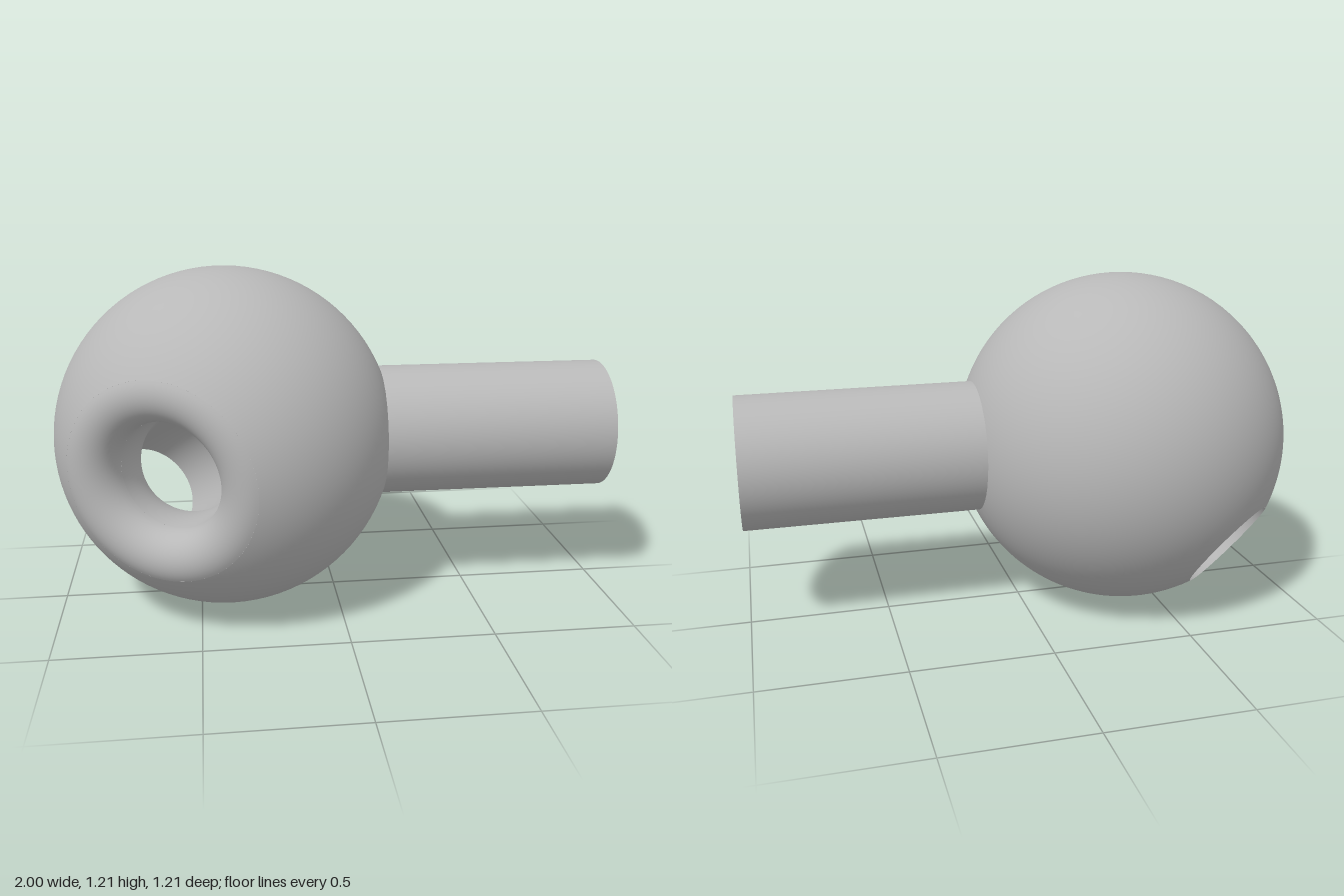
import * as THREE from 'three';

const R = 0.607;      // ball radius
const BORE = 0.19;    // bore radius
const LIP = 0.1;      // rounding radius of the flared mouth
const MOUTH = new THREE.Vector3(-0.45, -0.07, 0.89).normalize();
const EXIT = new THREE.Vector3(-0.52, -0.58, -0.62).normalize();

// Sphere skin between two round openings: circles cut by planes that
// all swing about the line where the two opening planes meet.
function ballGeometry(n1, d1, n2, d2) {
  const axis = new THREE.Vector3().crossVectors(n1, n2).normalize();
  const side = new THREE.Vector3().crossVectors(axis, n1);
  const turn = n1.angleTo(n2);
  const q = (d2 - Math.cos(turn) * d1) / Math.sin(turn);
  const geo = new THREE.PlaneGeometry(1, 1, 96, 72);
  const { position, normal, uv } = geo.attributes;
  const m = new THREE.Vector3(), w = new THREE.Vector3(), p = new THREE.Vector3();
  for (let i = 0; i < position.count; i++) {
    const psi = -(1 - uv.getY(i)) * (Math.PI - turn);
    const phi = uv.getX(i) * Math.PI * 2;
    m.copy(n1).multiplyScalar(Math.cos(psi)).addScaledVector(side, Math.sin(psi));
    const s = d1 * Math.cos(psi) + q * Math.sin(psi);
    const r = Math.sqrt(R * R - s * s);
    w.crossVectors(m, axis);
    p.copy(m).multiplyScalar(s)
      .addScaledVector(axis, r * Math.cos(phi))
      .addScaledVector(w, r * Math.sin(phi));
    position.setXYZ(i, p.x, p.y, p.z);
    p.normalize();
    normal.setXYZ(i, p.x, p.y, p.z);
  }
  return geo;
}

export function createModel() {
  const model = new THREE.Group();
  model.name = 'ballWithStem';
  const grey = new THREE.MeshStandardMaterial({ color: 0xb8b8b8, side: THREE.DoubleSide });
  grey.name = 'plain grey';

  const head = new THREE.Group();
  head.name = 'head';
  head.position.set(-0.393, R, 0);
  model.add(head);

  const add = (name, geometry, parent) => {
    const mesh = new THREE.Mesh(geometry, grey);
    mesh.name = name;
    parent.add(mesh);
    return mesh;
  };

  // Rounded lip is tangent to both the ball and the bore
  const ringR = BORE + LIP;
  const ringH = Math.sqrt((R - LIP) ** 2 - ringR ** 2);
  const contact = Math.atan2(ringH, ringR);
  const exitDepth = Math.sqrt(R * R - BORE * BORE);

  add('ball', ballGeometry(MOUTH, R * Math.sin(contact), EXIT, exitDepth), head);

  const profile = [];
  for (let i = 0; i <= 20; i++) {
    const a = contact + (Math.PI - contact) * i / 20;
    profile.push(new THREE.Vector2(ringR + LIP * Math.cos(a), ringH + LIP * Math.sin(a)));
  }
  const lip = add('flaredMouth', new THREE.LatheGeometry(profile, 72), head);
  lip.quaternion.setFromUnitVectors(new THREE.Vector3(0, 1, 0), MOUTH);

  // Curved bore from the mouth to the sharp-edged exit
  const path = new THREE.QuadraticBezierCurve3(
    MOUTH.clone().multiplyScalar(ringH),
    new THREE.Vector3(),
    EXIT.clone().multiplyScalar(exitDepth));
  add('bore', new THREE.TubeGeometry(path, 40, BORE, 72), head);

  // Straight round stem
  const stem = add('stem', new THREE.CylinderGeometry(0.235, 0.235, 0.88, 72), model);
  stem.rotation.z = -Math.PI / 2;
  stem.position.set(0.56, R, 0);

  return model;
}
